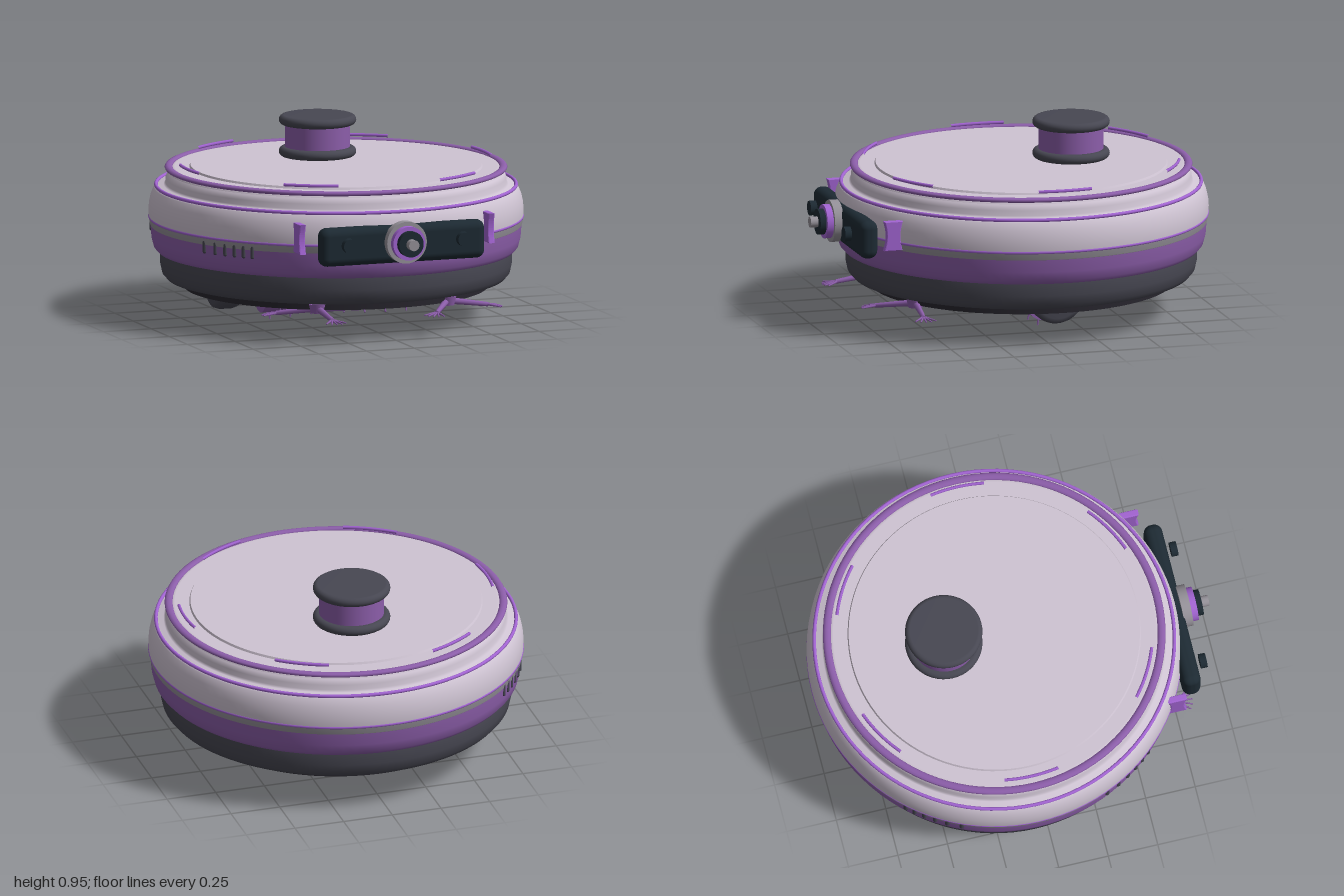
import * as THREE from 'three';
import { RoundedBoxGeometry } from 'three/addons/geometries/RoundedBoxGeometry.js';

const mat = (name, color) => Object.assign(new THREE.MeshStandardMaterial({ color }), { name });

export function createModel() {
  const lavender = mat('pale lavender shell', 0xcfc4d3);
  const purple = mat('purple plastic', 0x8c5eaa);
  const accent = mat('bright purple trim', 0xa264d2);
  const charcoal = mat('charcoal rubber', 0x474752);
  const black = mat('underside black', 0x27252d);
  const navy = mat('dark sensor glass', 0x1d2a33);
  const grey = mat('grey metal', 0x96929a);

  const model = new THREE.Group();
  model.name = 'robotVacuum';
  const group = (name, parent = model, x = 0, y = 0, z = 0) => {
    const g = new THREE.Group();
    g.name = name;
    g.position.set(x, y, z);
    parent.add(g);
    return g;
  };
  const add = (parent, name, geo, material, x = 0, y = 0, z = 0) => {
    const m = new THREE.Mesh(geo, material);
    m.name = name;
    m.position.set(x, y, z);
    parent.add(m);
    return m;
  };
  const lathe = (pts, seg = 96) =>
    new THREE.LatheGeometry(pts.map(([r, y]) => new THREE.Vector2(r, y)), seg);
  const flatRing = (R, r, squash = 1) =>
    new THREE.TorusGeometry(R, r, 10, 96).rotateX(Math.PI / 2).scale(1, squash, 1);
  // Disc with rounded rim, standing on y = 0
  const puck = (r, h) => {
    const b = h / 2, pts = [[0, 0]];
    for (let i = 0; i <= 8; i++) {
      const a = -Math.PI / 2 + (i / 8) * Math.PI;
      pts.push([r - b + Math.cos(a) * b, b + Math.sin(a) * b]);
    }
    return lathe([...pts, [0, h]], 48);
  };

  // Round body, stacked from bottom to top
  const body = group('body', model, 0, 0, -0.08);
  add(body, 'undersidePlate', new THREE.CylinderGeometry(0.745, 0.745, 0.04, 96), black, 0, 0.165, 0);
  add(body, 'baseBumper', lathe([[0, 0.182], [0.8, 0.182], [0.83, 0.19], [0.852, 0.215], [0.862, 0.26],
    [0.862, 0.32], [0.855, 0.34]]), charcoal);
  add(body, 'lowerBand', lathe([[0.855, 0.32], [0.875, 0.325], [0.893, 0.345], [0.905, 0.39], [0.91, 0.455]]), purple);
  add(body, 'seamBand', lathe([[0.908, 0.45], [0.912, 0.455], [0.918, 0.49]]), grey);
  add(body, 'upperShell', lathe([[0.918, 0.49], [0.92, 0.52], [0.917, 0.56], [0.908, 0.6], [0.893, 0.635], [0.88, 0.645],
    [0.845, 0.65], [0.836, 0.66], [0.835, 0.685], [0.826, 0.708], [0.805, 0.725]]), lavender);
  add(body, 'topDeck', lathe([[0.826, 0.715], [0.815, 0.735], [0.79, 0.738], [0, 0.738]]), lavender);
  add(body, 'lidPanel', new THREE.CylinderGeometry(0.714, 0.72, 0.012, 96), lavender, 0, 0.742, 0);
  add(body, 'sideTrim', flatRing(0.912, 0.009), accent, 0, 0.492, 0);
  add(body, 'shoulderTrim', flatRing(0.883, 0.009), accent, 0, 0.648, 0);
  add(body, 'rimTrim', flatRing(0.82, 0.02, 0.6), purple, 0, 0.735, 0);

  // Six short light arcs above the rim
  const half = 0.175;
  for (let i = 0; i < 6; i++) {
    const arc = new THREE.TorusGeometry(0.776, 0.008, 6, 12, half * 2);
    arc.rotateZ(-half).rotateX(Math.PI / 2);
    const m = add(body, 'topArc', arc, accent, 0, 0.766, 0);
    m.rotation.y = (i * Math.PI) / 3;
  }

  // Vent slots on the -x side, near front and back
  for (const s of [1, -1]) {
    for (let i = 0; i < 6; i++) {
      const x = -0.828 + i * 0.0316;
      const z = s * Math.sqrt(0.905 ** 2 - x * x);
      const slot = add(body, 'ventSlot', new THREE.CapsuleGeometry(0.01, 0.05, 4, 8), charcoal, x, 0.443, z);
      slot.scale.set(1, 1, 1.3);
    }
  }

  // Scanner turret
  const turret = group('turret', model, 0, 0, -0.335);
  add(turret, 'turretBase', puck(0.19, 0.048), charcoal, 0, 0.75, 0);
  add(turret, 'turretDrum', new THREE.CylinderGeometry(0.16, 0.16, 0.13, 48), purple, 0, 0.855, 0);
  add(turret, 'turretCap', puck(0.19, 0.048), charcoal, 0, 0.907, 0);

  // Front sensor bar with lens stack
  const front = group('sensorBar', model, 0, 0.5, 0);
  add(front, 'barHousing', new RoundedBoxGeometry(0.86, 0.19, 0.092, 5, 0.04), navy, 0, -0.005, 0.817);
  const disc = (name, r, z0, z1, m, x = 0) =>
    add(front, name, new THREE.CylinderGeometry(r, r, z1 - z0, 40).rotateX(Math.PI / 2), m, x, 0.008, (z0 + z1) / 2);
  disc('lensCollar', 0.104, 0.855, 0.9, grey);
  disc('lensRing', 0.084, 0.9, 0.932, accent);
  disc('lensBarrel', 0.064, 0.93, 0.962, navy);
  disc('lensTip', 0.027, 0.96, 1.0, grey);
  for (const s of [1, -1]) disc('sideSensor', 0.036, 0.882, 0.915, navy, s * 0.3);

  // Waisted bumper clips beside the bar
  const clip = new THREE.Shape();
  clip.moveTo(-0.042, -0.07);
  clip.lineTo(0.042, -0.07);
  clip.quadraticCurveTo(0.018, 0, 0.042, 0.07);
  clip.lineTo(-0.042, 0.07);
  clip.quadraticCurveTo(-0.018, 0, -0.042, -0.07);
  const clipGeo = new THREE.ExtrudeGeometry(clip, { depth: 0.022, bevelSize: 0.005, bevelThickness: 0.006, bevelSegments: 2 });
  clipGeo.center().rotateY(-Math.PI / 2);
  for (const s of [1, -1]) add(model, 'bumperClip', clipGeo, accent, s * 0.495, 0.53, 0.72);

  // Drive wheels
  const tread = [[0, -0.065], [0.11, -0.065], [0.132, -0.055], [0.14, -0.03], [0.14, 0.03], [0.132, 0.055], [0.11, 0.065], [0, 0.065]];
  for (const s of [1, -1]) add(model, 'wheel', lathe(tread, 40).rotateZ(Math.PI / 2), charcoal, s * 0.588, 0.205, -0.08);

  // Main roller brush in its frame
  const roller = group('rollerBrush', model, 0, 0.115, -0.075);
  add(roller, 'rollerCore', new THREE.CylinderGeometry(0.08, 0.08, 0.8, 32).rotateZ(Math.PI / 2), purple);
  for (const s of [1, -1]) {
    add(roller, 'frameLongBar', new THREE.BoxGeometry(0.9, 0.045, 0.03), grey, 0, 0.005, s * 0.135);
    add(roller, 'frameEndBar', new THREE.BoxGeometry(0.03, 0.045, 0.3), grey, s * 0.435, 0.005, 0);
  }
  const bristle = new THREE.CylinderGeometry(0.004, 0.005, 0.04, 6).translate(0, 0.095, 0);
  for (let row = 0; row < 6; row++) {
    for (let i = 0; i < 7; i++) {
      const b = add(roller, 'rollerBristle', bristle, purple, -0.35 + i * 0.115 + (row % 2) * 0.02);
      b.rotation.x = Math.PI + (row * Math.PI) / 3 + (i * Math.PI) / 21;
    }
  }

  // Spinning side brushes: three drooping arms with fanned tips
  const arm = new THREE.CylinderGeometry(0.011, 0.017, 0.21, 8).rotateZ(-Math.PI / 2).translate(0.105, 0, 0);
  const tip = new THREE.CylinderGeometry(0.003, 0.007, 0.08, 6).rotateZ(-Math.PI / 2).translate(0.04, 0, 0);
  for (const [x, start] of [[0.34, 125], [-0.34, 90]]) {
    const brush = group('sideBrush', model, x, 0.15, 0.56);
    add(brush, 'brushHub', new THREE.CylinderGeometry(0.045, 0.035, 0.045, 20), purple);
    for (let k = 0; k < 3; k++) {
      const limb = group('brushArm', brush);
      limb.rotation.set(0, -THREE.MathUtils.degToRad(start + k * 120), -0.14);
      add(limb, 'armRod', arm, purple);
      for (let j = -2; j <= 2; j++) {
        add(limb, 'armBristle', tip, purple, 0.2, 0, 0).rotation.y = j * 0.35;
      }
    }
  }
  return model;
}
